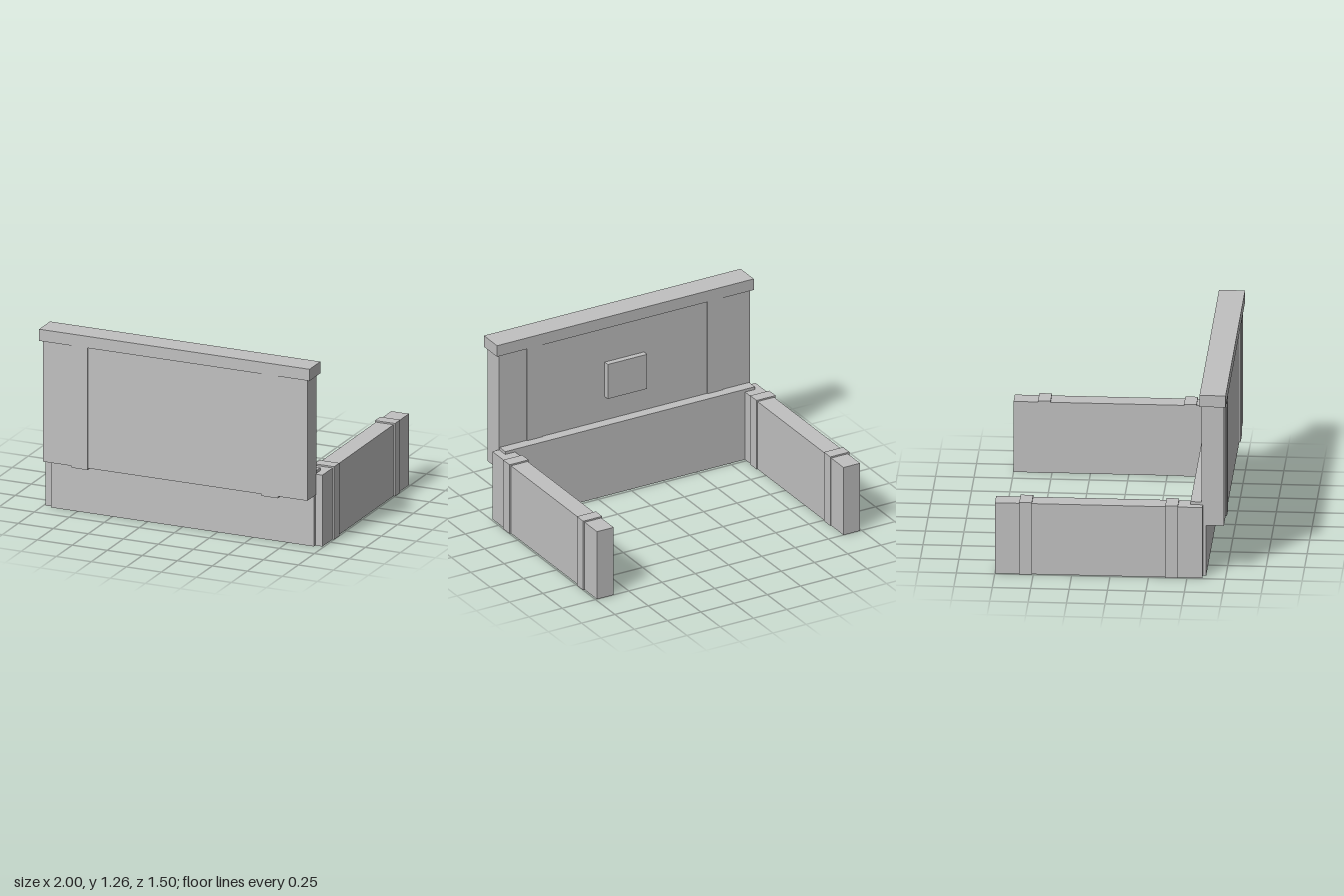
import * as THREE from 'three';

export function createModel() {
  const model = new THREE.Group();
  const stone = new THREE.MeshStandardMaterial({ color: 0xc0c0c0 });
  stone.name = 'light grey';

  // Box given by its extents along each axis
  function block(name, [x0, x1], [y0, y1], [z0, z1]) {
    const mesh = new THREE.Mesh(new THREE.BoxGeometry(x1 - x0, y1 - y0, z1 - z0), stone);
    mesh.position.set((x0 + x1) / 2, (y0 + y1) / 2, (z0 + z1) / 2);
    mesh.name = name;
    model.add(mesh);
  }

  // The same block on both sides
  function pair(name, [x0, x1], y, z) {
    block('left' + name, [x0, x1], y, z);
    block('right' + name, [-x1, -x0], y, z);
  }

  // Low front wall, upright panel and its cap
  block('frontWall', [-0.938, 0.938], [0, 0.51], [0.52, 0.622]);
  block('uprightPanel', [-0.944, 0.944], [0.35, 1.18], [0.593, 0.737]);
  block('topCap', [-0.965, 0.965], [1.18, 1.26], [0.58, 0.75]);
  pair('PanelStrip', [0.621, 0.736], [0.34, 1.18], [0.586, 0.744]);

  // Small plaque on the inner face of the panel
  block('plaque', [-0.148, 0.148], [0.68, 0.93], [0.553, 0.6]);

  // Low side walls, each wrapped by two bands
  pair('SideWall', [0.864, 0.989], [0, 0.49], [-0.75, 0.6]);
  for (const [label, z] of [['Front', 0.4], ['Back', -0.55]]) {
    pair(label + 'Band', [0.857, 1], [0, 0.5], [z - 0.041, z + 0.041]);
  }

  return model;
}
